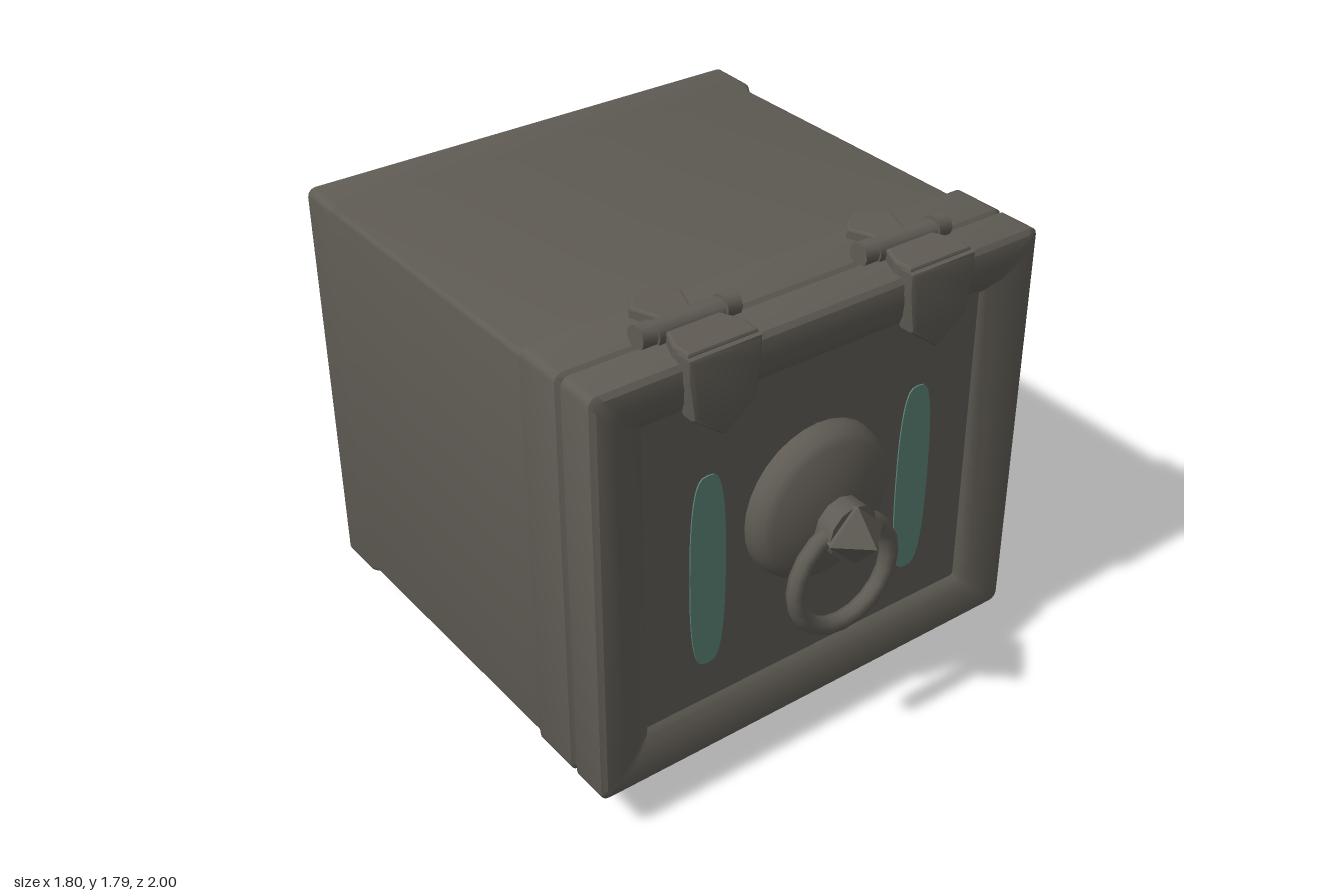
import * as THREE from 'three';
import { toCreasedNormals } from 'three/addons/utils/BufferGeometryUtils.js';

const iron = new THREE.MeshStandardMaterial({ color: 0x5f5b54 });
iron.name = 'darkIron';
const teal = new THREE.MeshStandardMaterial({ color: 0x5c8277 });
teal.name = 'tealGlass';

// Rounded rectangular sections [halfWidth, bottom, top, z, cornerRadius], joined along z and capped
function loft(sections) {
  const pos = [], idx = [], steps = 3, n = 4 * (steps + 1);
  for (const [hw, y0, y1, z, r] of sections) {
    const corners = [[hw - r, y1 - r], [r - hw, y1 - r], [r - hw, y0 + r], [hw - r, y0 + r]];
    corners.forEach(([cx, cy], q) => {
      for (let k = 0; k <= steps; k++) {
        const a = (q + k / steps) * Math.PI / 2;
        pos.push(cx + r * Math.cos(a), cy + r * Math.sin(a), z);
      }
    });
  }
  const last = (sections.length - 1) * n;
  for (let i = 0; i < last; i += n) {
    for (let j = 0; j < n; j++) {
      const k = (j + 1) % n;
      idx.push(i + j, i + k, i + n + k, i + j, i + n + k, i + n + j);
    }
  }
  for (let j = 1; j < n - 1; j++) {
    idx.push(0, j + 1, j, last, last + j, last + j + 1);
  }
  const g = new THREE.BufferGeometry();
  g.setAttribute('position', new THREE.Float32BufferAttribute(pos, 3));
  g.setIndex(idx);
  return toCreasedNormals(g, 0.65);
}

function add(parent, name, geometry, material = iron, x = 0, y = 0, z = 0) {
  const m = new THREE.Mesh(geometry, material);
  m.name = name;
  m.position.set(x, y, z);
  parent.add(m);
  return m;
}

const shapeOf = pts => new THREE.Shape(pts.map(p => new THREE.Vector2(...p)));
const plate = (pts, depth, bevel) => new THREE.ExtrudeGeometry(shapeOf(pts), {
  depth, bevelEnabled: bevel > 0, bevelThickness: bevel, bevelSize: bevel, bevelOffset: -bevel, bevelSegments: 2,
});

function hinge() {
  const g = new THREE.Group();
  // shield-shaped strap hanging over the door
  add(g, 'hingeStrap', toCreasedNormals(plate([[-0.14, 1.75], [-0.138, 1.67], [-0.118, 1.53],
    [0, 1.44], [0.118, 1.53], [0.138, 1.67], [0.14, 1.75]], 0.04, 0.018), 0.7), iron, 0, 0, 0.71);
  // leaves lying on top, outlines in x and -z
  const frontLeaf = plate([[-0.13, -0.75], [0.13, -0.75], [0.135, -0.68], [0.1, -0.6], [-0.1, -0.6], [-0.135, -0.68]], 0.04, 0.01);
  const rearLeaf = plate([[-0.065, -0.54], [0.065, -0.54], [0.065, -0.5], [0.1, -0.41], [0.06, -0.365],
    [0, -0.33], [-0.06, -0.365], [-0.1, -0.41], [-0.065, -0.5]], 0.035, 0.008);
  for (const [name, geo] of [['hingeFrontLeaf', frontLeaf], ['hingeRearLeaf', rearLeaf]]) {
    add(g, name, geo.rotateX(-Math.PI / 2), iron, 0, 1.713, 0);
  }
  // pin with thicker ends
  const rod = (r, l) => toCreasedNormals(new THREE.CylinderGeometry(r, r, l, 10).rotateZ(Math.PI / 2), 0.8);
  add(g, 'hingeBarrel', rod(0.042, 0.25), iron, 0, 1.745, 0.565);
  add(g, 'hingePin', rod(0.03, 0.34), iron, 0, 1.752, 0.565);
  for (const s of [-1, 1]) add(g, 'hingePinEnd', rod(0.042, 0.055), iron, s * 0.158, 1.752, 0.565);
  return g;
}

export function createModel() {
  const model = new THREE.Group();
  model.name = 'strongbox';

  // Body with raised bands around the front and back
  add(model, 'body', loft([
    [0.885, 0.19, 1.70, -1, 0.03], [0.9, 0.175, 1.72, -0.975, 0.03],
    [0.9, 0.175, 1.715, -0.81, 0.03], [0.885, 0.185, 1.695, -0.78, 0.02],
    [0.885, 0.185, 1.69, 0.33, 0.02], [0.89, 0.18, 1.695, 0.35, 0.02],
    [0.9, 0.175, 1.72, 0.365, 0.03], [0.9, 0.175, 1.72, 0.55, 0.03], [0.885, 0.19, 1.705, 0.566, 0.03],
  ]));

  // Door with sloping frame and sunken panel
  add(model, 'door', loft([
    [0.885, 0.18, 1.705, 0.564, 0.02], [0.897, 0.168, 1.72, 0.578, 0.03],
    [0.897, 0.168, 1.72, 0.72, 0.03], [0.88, 0.185, 1.703, 0.735, 0.03],
    [0.81, 0.25, 1.635, 0.735, 0.03], [0.75, 0.30, 1.58, 0.722, 0.02],
    [0.705, 0.335, 1.545, 0.705, 0.01], [0.69, 0.35, 1.53, 0.685, 0.01],
  ]));

  // Tapered feet
  for (const s of [-1, 1]) {
    for (const [name, z, bottom] of [['frontFoot', 0.46, 0.015], ['backFoot', -0.89, 0]]) {
      const h = 0.19 - bottom;
      const foot = new THREE.CylinderGeometry(0.108, 0.066, h, 8);
      foot.rotateY(Math.PI / 8);
      add(model, name, toCreasedNormals(foot, 0.5), iron, s * 0.69, bottom + h / 2, z);
    }
  }

  // Hinges along the top edge
  for (const s of [-1, 1]) {
    const h = hinge();
    h.name = s > 0 ? 'leftHinge' : 'rightHinge';
    h.position.x = s * 0.435;
    model.add(h);
  }

  // Slim window strips with slightly uneven outline
  for (const s of [-1, 1]) {
    const outline = [];
    for (let i = 0; i < 40; i++) {
      const a = i / 40 * Math.PI * 2, c = Math.cos(a), d = Math.sin(a);
      outline.push([0.072 * Math.sign(c) * Math.abs(c) ** 0.6, 0.375 * Math.sign(d) * Math.abs(d) ** 0.8]);
    }
    add(model, s > 0 ? 'leftWindow' : 'rightWindow', plate(outline, 0.006, 0), teal, s * 0.44, 0.88, 0.684);
  }

  // Domed boss behind the knob
  const dome = new THREE.LatheGeometry([[0.292, 0.68], [0.285, 0.72], [0.265, 0.75], [0.24, 0.77], [0.17, 0.79],
    [0.1, 0.81], [0, 0.815]].map(p => new THREE.Vector2(...p)), 32);
  add(model, 'boss', dome.rotateX(Math.PI / 2), iron, 0, 0.985, 0);

  // Four-sided pointed knob
  const knob = new THREE.LatheGeometry([[0.07, 0.79], [0.085, 0.82], [0.112, 0.9], [0, 1]]
    .map(p => new THREE.Vector2(...p)), 4);
  add(model, 'knob', toCreasedNormals(knob.rotateX(Math.PI / 2), 0.3), iron, 0, 0.955, 0);

  // Knob neck
  const neck = new THREE.CylinderGeometry(0.1, 0.1, 0.1, 12).rotateX(Math.PI / 2);
  add(model, 'knobNeck', toCreasedNormals(neck, 0.7), iron, 0, 0.957, 0.835);

  // Pull ring
  add(model, 'pullRing', new THREE.TorusGeometry(0.202, 0.033, 8, 20), iron, 0, 0.772, 0.845);

  return model;
}
